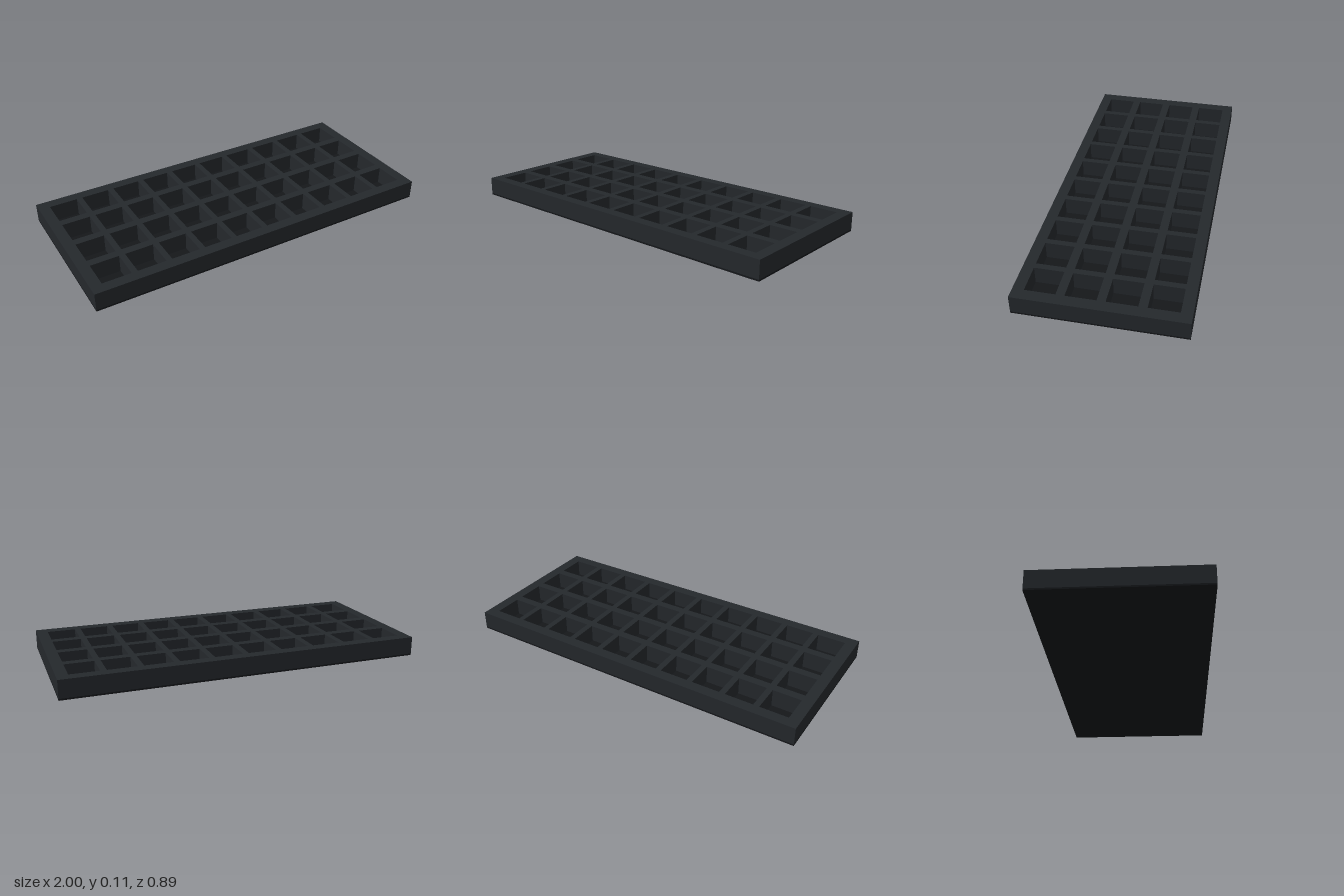
import * as THREE from 'three';

const WIDTH = 2, DEPTH = 0.886, HEIGHT = 0.107, BASE = 0.009;
const COLS = 10, ROWS = 4, CELL = 0.158, PITCH_X = 0.191, PITCH_Z = 0.203;

// Adds a centred rectangle to a shape or hole path
function rectangle(path, cx, cy, w, h) {
  path.moveTo(cx - w / 2, cy - h / 2);
  path.lineTo(cx + w / 2, cy - h / 2);
  path.lineTo(cx + w / 2, cy + h / 2);
  path.lineTo(cx - w / 2, cy + h / 2);
  path.closePath();
  return path;
}

export function createModel() {
  const model = new THREE.Group();
  model.name = 'cellTray';

  // Thin base plate forming the floor of every cell
  const basePlate = new THREE.Mesh(
    new THREE.BoxGeometry(WIDTH, BASE, DEPTH),
    new THREE.MeshStandardMaterial({ color: 0x15171a })
  );
  basePlate.name = 'basePlate';
  basePlate.position.y = BASE / 2;
  model.add(basePlate);

  // Rim and dividers: one slab pierced by a grid of square cells
  const outline = rectangle(new THREE.Shape(), 0, 0, WIDTH, DEPTH);
  for (let row = 0; row < ROWS; row++) {
    for (let col = 0; col < COLS; col++) {
      const x = (col - (COLS - 1) / 2) * PITCH_X;
      const z = (row - (ROWS - 1) / 2) * PITCH_Z;
      outline.holes.push(rectangle(new THREE.Path(), x, z, CELL, CELL));
    }
  }
  const gridGeometry = new THREE.ExtrudeGeometry(outline, { depth: HEIGHT - BASE, bevelEnabled: false });
  gridGeometry.rotateX(-Math.PI / 2);
  const cellGrid = new THREE.Mesh(gridGeometry, new THREE.MeshStandardMaterial({ color: 0x24282c }));
  cellGrid.name = 'cellGrid';
  cellGrid.position.y = BASE;
  model.add(cellGrid);

  return model;
}
